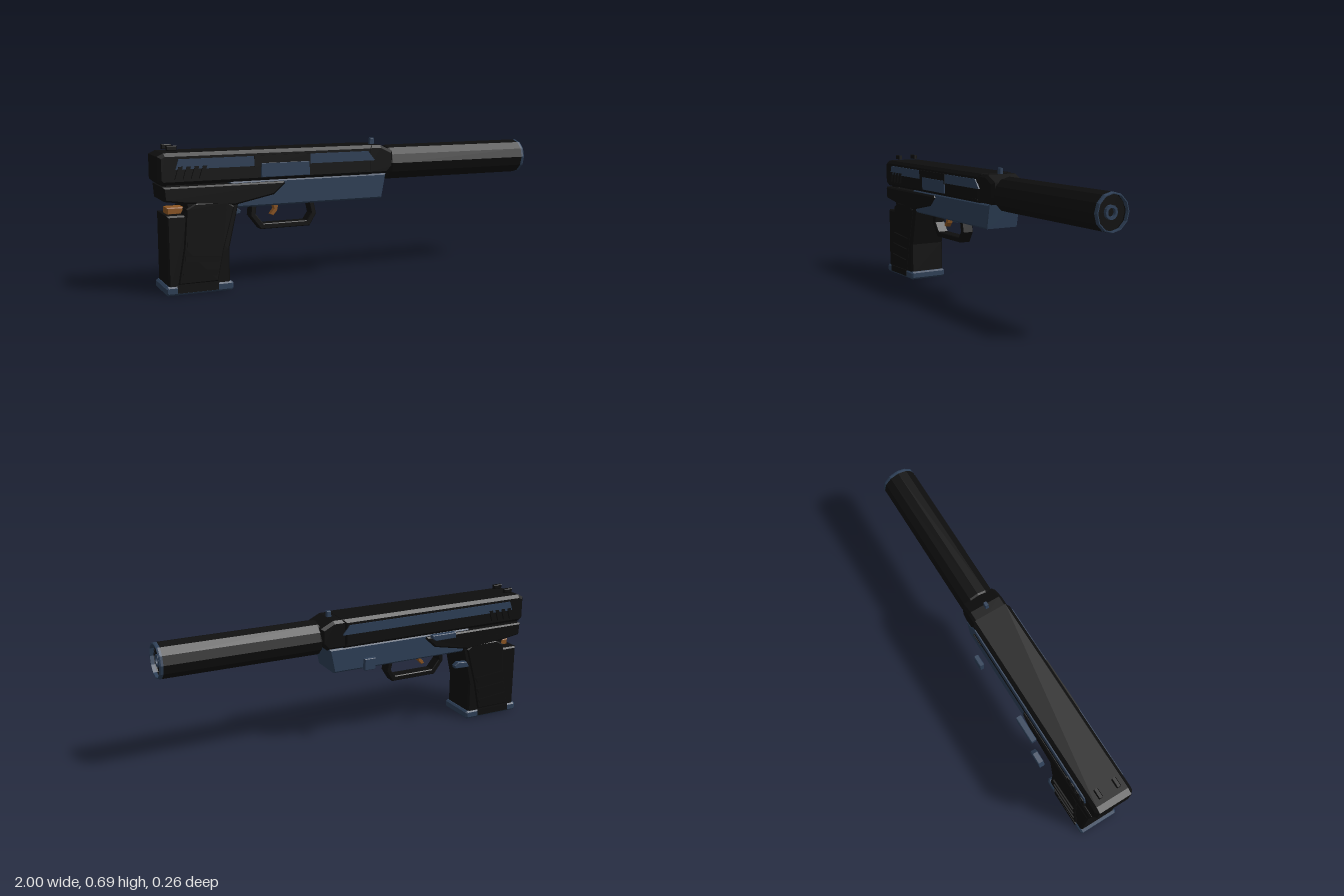
import * as THREE from 'three';

const CZ = 0.018; // mid-plane of the body in z
const BARREL_Y = 0.563;

export function createModel() {
  const group = new THREE.Group();
  const mat = (name, color, side = THREE.FrontSide) => {
    const m = new THREE.MeshStandardMaterial({ color, side });
    m.name = name;
    return m;
  };
  const black = mat('black', 0x0e0e0e);
  const blue = mat('slate blue', 0x2e4058);
  const orange = mat('bronze', 0x8c5522);

  const add = (name, geometry, material) => {
    const mesh = new THREE.Mesh(geometry, material);
    mesh.name = name;
    group.add(mesh);
    return mesh;
  };

  // Side profile extruded about z with chamfered edges
  const plate = (name, points, z, halfWidth, chamfer, material, hole) => {
    const shape = new THREE.Shape(points.map(p => new THREE.Vector2(...p)));
    if (hole) shape.holes.push(new THREE.Path(hole.map(p => new THREE.Vector2(...p))));
    const geometry = new THREE.ExtrudeGeometry(shape, {
      depth: 2 * (halfWidth - chamfer), bevelEnabled: chamfer > 0, bevelSegments: 1,
      bevelThickness: chamfer, bevelSize: chamfer, bevelOffset: -chamfer,
    });
    geometry.translate(0, 0, z - halfWidth + chamfer);
    return add(name, geometry, material);
  };
  const rect = (x0, x1, y0, y1) => [[x0, y0], [x1, y0], [x1, y1], [x0, y1]];

  // Slide and tapered nose
  plate('slide', [[-1, 0.53], [-0.98, 0.512], [0.08, 0.512], [0.08, 0.66], [-0.97, 0.66], [-1, 0.645]],
    CZ, 0.101, 0.016, black);
  plate('slideNose', [[0.04, 0.512], [0.165, 0.512], [0.197, 0.545], [0.197, 0.625], [0.13, 0.658], [0.04, 0.658]],
    CZ, 0.093, 0.014, black);

  // Lower frame, rear frame and the filler behind it
  plate('frame', [[-0.66, 0.405], [-0.62, 0.39], [0.133, 0.39], [0.157, 0.515], [-0.66, 0.515]],
    CZ, 0.093, 0.008, blue);
  plate('rearFrame', [[-0.975, 0.44], [-0.875, 0.425], [-0.645, 0.405], [-0.445, 0.445], [-0.39, 0.495],
    [-0.395, 0.506], [-0.98, 0.506]], CZ, 0.108, 0.008, black);
  plate('frameRearBlock', rect(-0.96, -0.87, 0.49, 0.53), CZ, 0.08, 0, black);

  // Grip
  plate('grip', [[-0.965, 0.03], [-0.67, 0.03], [-0.67, 0.2], [-0.615, 0.44], [-0.88, 0.44], [-0.87, 0.4],
    [-0.885, 0.372], [-0.965, 0.372]], CZ, 0.099, 0.008, black);
  plate('gripPanels', [[-0.92, 0.05], [-0.73, 0.05], [-0.7, 0.2], [-0.645, 0.4], [-0.68, 0.425], [-0.83, 0.425],
    [-0.875, 0.4], [-0.89, 0.22]], CZ, 0.107, 0.006, black);

  // Magazine base with dark side inserts
  plate('magazineBase', [[-0.98, 0.01], [-0.97, 0], [-0.665, 0], [-0.655, 0.01], [-0.655, 0.036],
    [-0.665, 0.044], [-0.97, 0.044], [-0.98, 0.036]], CZ, 0.106, 0.009, blue);

  // Suppressor and its rim, bore ring and recess
  const lathe = (name, points, sides, material) => {
    const geometry = new THREE.LatheGeometry(points.map(p => new THREE.Vector2(...p)), sides).toNonIndexed();
    geometry.rotateZ(-Math.PI / 2).translate(0, BARREL_Y, CZ);
    geometry.computeVertexNormals();
    return add(name, geometry, material);
  };
  lathe('suppressor', [[0, 0.19], [0.085, 0.19], [0.088, 0.2], [0.088, 0.982], [0.08, 0.982],
    [0.08, 0.975], [0, 0.975]], 12, black);
  lathe('suppressorRim', [[0.088, 0.982], [0.088, 0.993], [0.085, 1], [0.08, 1], [0.08, 0.978]], 12, blue);
  lathe('boreRing', [[0.032, 0.974], [0.032, 0.99], [0.02, 0.99], [0.02, 0.974]], 12, blue);

  // Mirrored details on both sides
  for (const s of [1, -1]) {
    const at = d => CZ + s * d;
    plate('slideStripe', [[-0.92, 0.585], [0.088, 0.585], [0.05, 0.632], [-0.905, 0.632]],
      at(0.103), 0.004, 0, blue);
    for (let i = 0; i < 4; i++) {
      const x = -0.925 + i * 0.038;
      plate('slideSerration', [[x, 0.54], [x + 0.02, 0.54], [x + 0.038, 0.598], [x + 0.018, 0.598]],
        at(0.106), 0.005, 0, black);
    }
    plate('slideNotch', rect(0, 0.07, 0.528, 0.534), at(0.102), 0.003, 0, black);
    plate('magazineInsert', rect(-0.925, -0.73, 0.01, 0.044), at(0.105), 0.003, 0, black);
    for (let i = 0; i < 3; i++) {
      const y = 0.08 + i * 0.064, x = -0.9 + i * 0.012;
      plate('gripRidge', [[x, y + 0.015], [x + 0.16, y], [x + 0.175, y + 0.025], [x, y + 0.04]],
        at(0.11), 0.004, 0, black);
    }
    // Rear sight posts
    plate('rearSight', rect(-0.948, -0.9, 0.668, 0.69), at(0.048), 0.0105, 0.003, black);
  }

  // Ejection port on the front side
  plate('ejectionPort', rect(-0.545, -0.26, 0.58, 0.634), CZ + 0.1055, 0.004, 0, black);
  plate('chamberCover', rect(-0.51, -0.265, 0.53, 0.598), CZ + 0.104, 0.007, 0.002, blue);

  plate('frontSight', [[0.104, 0.65], [0.13, 0.65], [0.13, 0.688], [0.108, 0.688]], CZ, 0.009, 0.002, blue);

  // Trigger guard, trigger and hammer
  plate('triggerGuard', [[-0.49, 0.267], [-0.235, 0.267], [-0.2, 0.325], [-0.215, 0.4], [-0.535, 0.4], [-0.542, 0.335]],
    CZ, 0.031, 0.004, black,
    [[-0.476, 0.294], [-0.25, 0.294], [-0.226, 0.33], [-0.238, 0.386], [-0.51, 0.386], [-0.515, 0.342]]);
  plate('trigger', [[-0.435, 0.335], [-0.42, 0.328], [-0.4, 0.35], [-0.39, 0.395], [-0.425, 0.395], [-0.415, 0.36]],
    CZ, 0.016, 0.002, orange);
  plate('hammer', rect(-0.95, -0.865, 0.368, 0.402), CZ, 0.04, 0.005, orange);

  // Controls standing off the back side
  plate('slideLatch', [[-0.54, 0.495], [-0.42, 0.495], [-0.4, 0.51], [-0.4, 0.526], [-0.54, 0.526]],
    -0.118, 0.015, 0.003, blue);
  plate('takedownButton', rect(-0.07, -0.01, 0.4, 0.46), -0.121, 0.012, 0.003, blue);
  plate('magazineLever', [[-0.63, 0.322], [-0.545, 0.325], [-0.54, 0.34], [-0.56, 0.356], [-0.615, 0.352]],
    -0.118, 0.015, 0.003, blue);

  return group;
}
